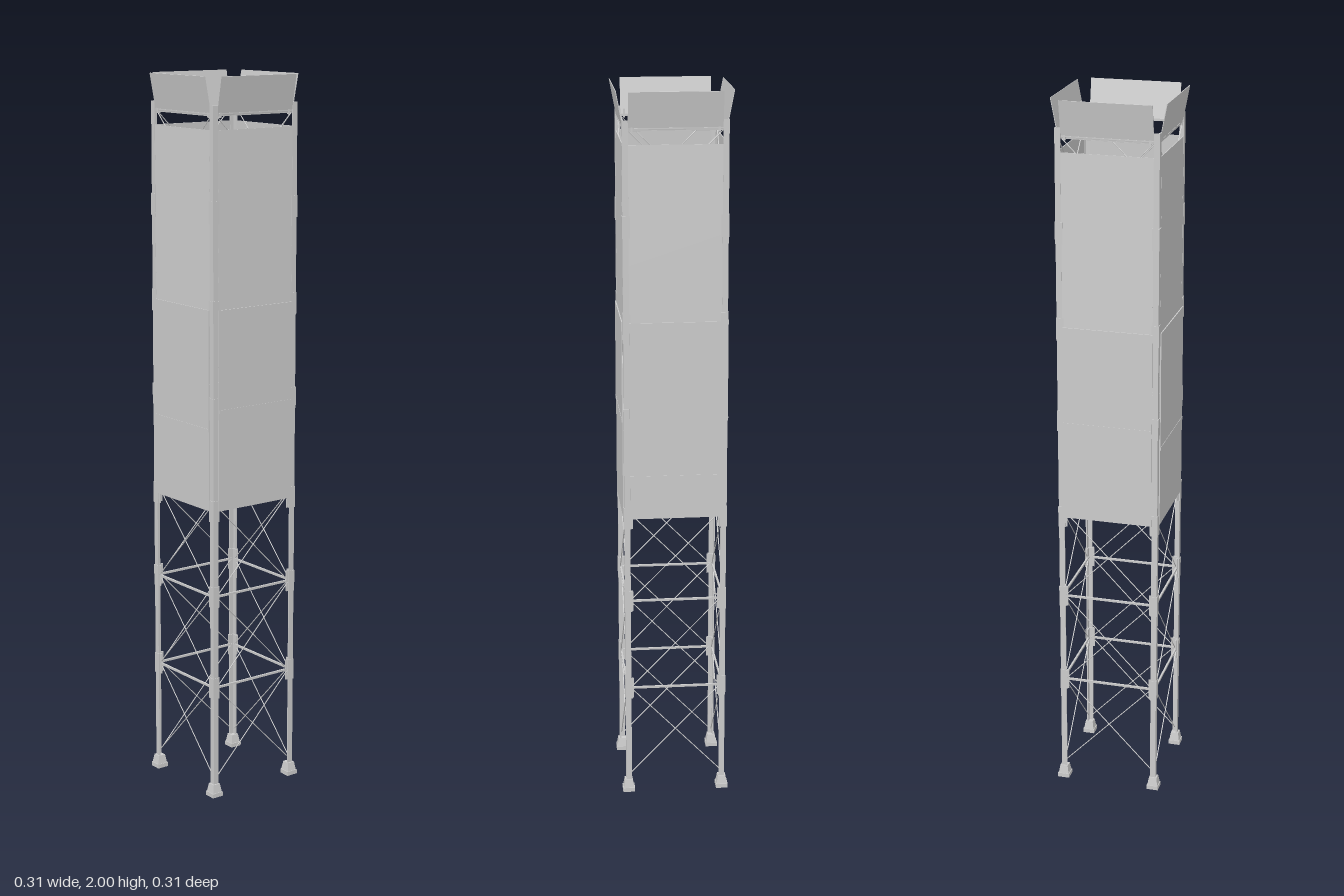
import * as THREE from 'three';

const grey = new THREE.MeshStandardMaterial({ color: 0xcccccc, flatShading: true });

function add(parent, name, geometry, x = 0, y = 0, z = 0) {
  const mesh = new THREE.Mesh(geometry, grey);
  mesh.name = name;
  mesh.position.set(x, y, z);
  parent.add(mesh);
  return mesh;
}

function box(parent, name, w, h, d, x, y, z) {
  return add(parent, name, new THREE.BoxGeometry(w, h, d), x, y, z);
}

// Thin rod between two points
function rod(parent, name, a, b, r) {
  const dir = b.clone().sub(a);
  const mid = a.clone().add(b).multiplyScalar(0.5);
  const mesh = add(parent, name, new THREE.CylinderGeometry(r, r, dir.length(), 6), mid.x, mid.y, mid.z);
  mesh.quaternion.setFromUnitVectors(new THREE.Vector3(0, 1, 0), dir.normalize());
}

// Upright L-section whose outer corner is at (outer, outer), arms pointing inward
function angleBar(parent, name, outer, arm, t, y0, y1) {
  const o = outer, i = outer - arm, m = outer - t;
  const shape = new THREE.Shape(
    [[o, o], [i, o], [i, m], [m, m], [m, i], [o, i]].map(p => new THREE.Vector2(p[0], -p[1])).reverse());
  const geo = new THREE.ExtrudeGeometry(shape, { depth: y1 - y0, bevelEnabled: false });
  geo.rotateX(-Math.PI / 2);
  add(parent, name, geo, 0, y0, 0);
}

const levels = [0.055, 0.32, 0.585, 0.845, 1.115, 1.38, 1.645, 1.9];

function makeCorner() {
  const corner = new THREE.Group();
  angleBar(corner, 'post', 0.141, 0.016, 0.004, 0.03, 1.925);

  // Flared foot on a base pad
  box(corner, 'footPad', 0.034, 0.012, 0.034, 0.134, 0.006, 0.134);
  const foot = new THREE.CylinderGeometry(0.011 * Math.SQRT2, 0.015 * Math.SQRT2, 0.024, 4);
  foot.rotateY(Math.PI / 4);
  add(corner, 'foot', foot, 0.134, 0.024, 0.134);

  // Splice plates wrap the post inside and out at every joint
  for (const y of levels.slice(1, -1)) {
    const c = y === 0.845 ? 0.83 : y;
    angleBar(corner, 'splicePlate', 0.1425, 0.021, 0.0015, c - 0.03, c + 0.03);
    angleBar(corner, 'innerSplice', 0.137, 0.019, 0.003, c - 0.03, c + 0.03);
  }
  return corner;
}

// One wall, facing +z; seam is the height of the lap between its two sheets
function makeSide(seam) {
  const side = new THREE.Group();
  const half = 0.125, w = 2 * half;

  // Horizontal rails and crossed tie rods
  for (let i = 0; i < levels.length; i++) {
    const y = levels[i];
    if (i > 0) box(side, 'rail', 0.26, 0.006, 0.005, 0, y === 0.845 ? 0.835 : y, 0.1345);
    if (i === levels.length - 1) continue;
    for (const s of [-1, 1]) {
      const z = 0.1345 + s * 0.0015;
      rod(side, 'tieRod', new THREE.Vector3(-s * 0.127, y, z), new THREE.Vector3(s * 0.127, levels[i + 1], z), 0.0014);
    }
  }
  box(side, 'topRailFlange', 0.26, 0.003, 0.012, 0, 1.903, 0.133);

  // Plain lower cladding
  box(side, 'lowerSheet', w, seam - 0.83, 0.003, 0, (seam + 0.83) / 2, 0.1425);
  box(side, 'upperSheet', w, 1.385 - seam, 0.003, 0, (seam + 1.385) / 2, 0.1435);
  box(side, 'lapStrip', w, 0.009, 0.003, 0, seam, 0.1445);

  // Lapped boards on the upper part
  for (let i = 0; i < 6; i++) {
    const board = box(side, 'lappedBoard', w, 0.081, 0.0025, 0, 1.42 + i * 0.08, 0.1395);
    board.rotation.x = -0.035;
  }

  // Outward leaning panel at the head
  const flap = box(side, 'topFlap', w, 0.105, 0.002, 0, 1.948, 0.1455);
  flap.rotation.x = 0.19;
  for (const s of [-1, 1]) box(side, 'flapBracket', 0.006, 0.025, 0.006, s * 0.115, 1.905, 0.1355);
  return side;
}

export function createModel() {
  const tower = new THREE.Group();
  tower.name = 'tower';
  const seams = [1.055, 1.108, 0.95, 1.108];
  const sideNames = ['frontSide', 'leftSide', 'backSide', 'rightSide'];
  for (let i = 0; i < 4; i++) {
    const corner = makeCorner();
    corner.name = 'corner' + (i + 1);
    const side = makeSide(seams[i]);
    side.name = sideNames[i];
    corner.rotation.y = side.rotation.y = i * Math.PI / 2;
    tower.add(corner, side);
  }
  // Deck closing the bottom of the clad shaft
  box(tower, 'floor', 0.262, 0.006, 0.262, 0, 0.843, 0);
  return tower;
}
